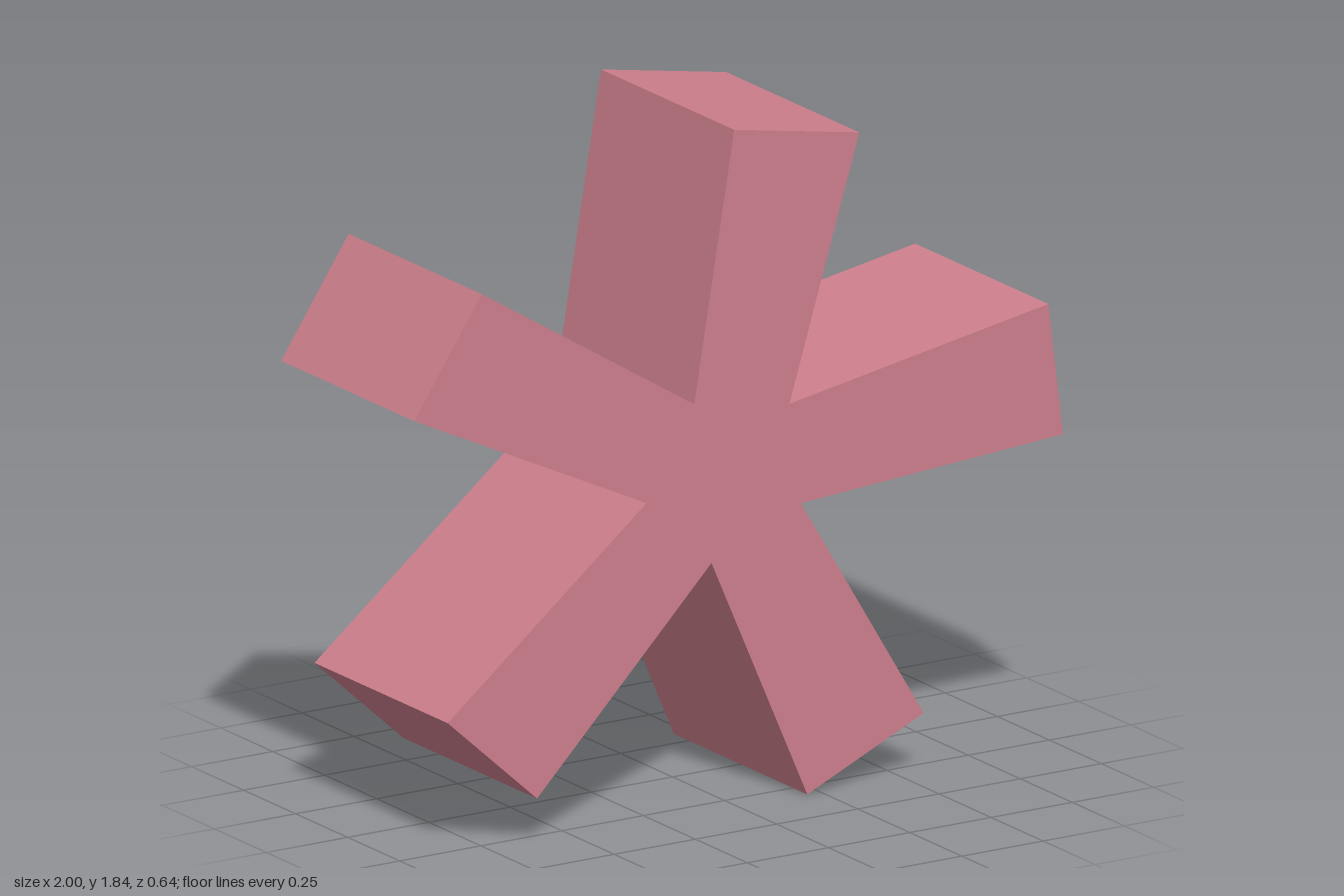
import * as THREE from 'three';

const DEPTH = 0.64;

// Each arm: inner notch before it, then its two tip corners (counter-clockwise)
const ARMS = [
  { notch: [0.19, 0.795], tip: [[0.997, 0.85], [0.952, 1.21]] },    // side
  { notch: [0.155, 1.07], tip: [[0.37, 1.77], [-0.015, 1.84]] },    // top
  { notch: [-0.138, 1.117], tip: [[-0.792, 1.522], [-1.0, 1.212]] }, // upper
  { notch: [-0.285, 0.873], tip: [[-0.897, 0.377], [-0.622, 0.128]] }, // lower
  { notch: [-0.085, 0.678], tip: [[0.21, 0.003], [0.568, 0.165]] }, // bottom
];

export function createModel() {
  const group = new THREE.Group();
  group.name = 'asterisk';

  const rose = new THREE.MeshStandardMaterial({ color: 0xcd7f8c });
  rose.name = 'dusty rose';

  // Five-armed outline extruded straight through, without bevel
  const outline = ARMS.flatMap(({ notch, tip }) => [notch, ...tip]);
  const shape = new THREE.Shape(outline.map(([x, y]) => new THREE.Vector2(x, y)));
  const geometry = new THREE.ExtrudeGeometry(shape, { depth: DEPTH, bevelEnabled: false });
  geometry.translate(0, 0, -DEPTH / 2);

  const body = new THREE.Mesh(geometry, rose);
  body.name = 'fiveArmedBody';
  group.add(body);
  return group;
}
